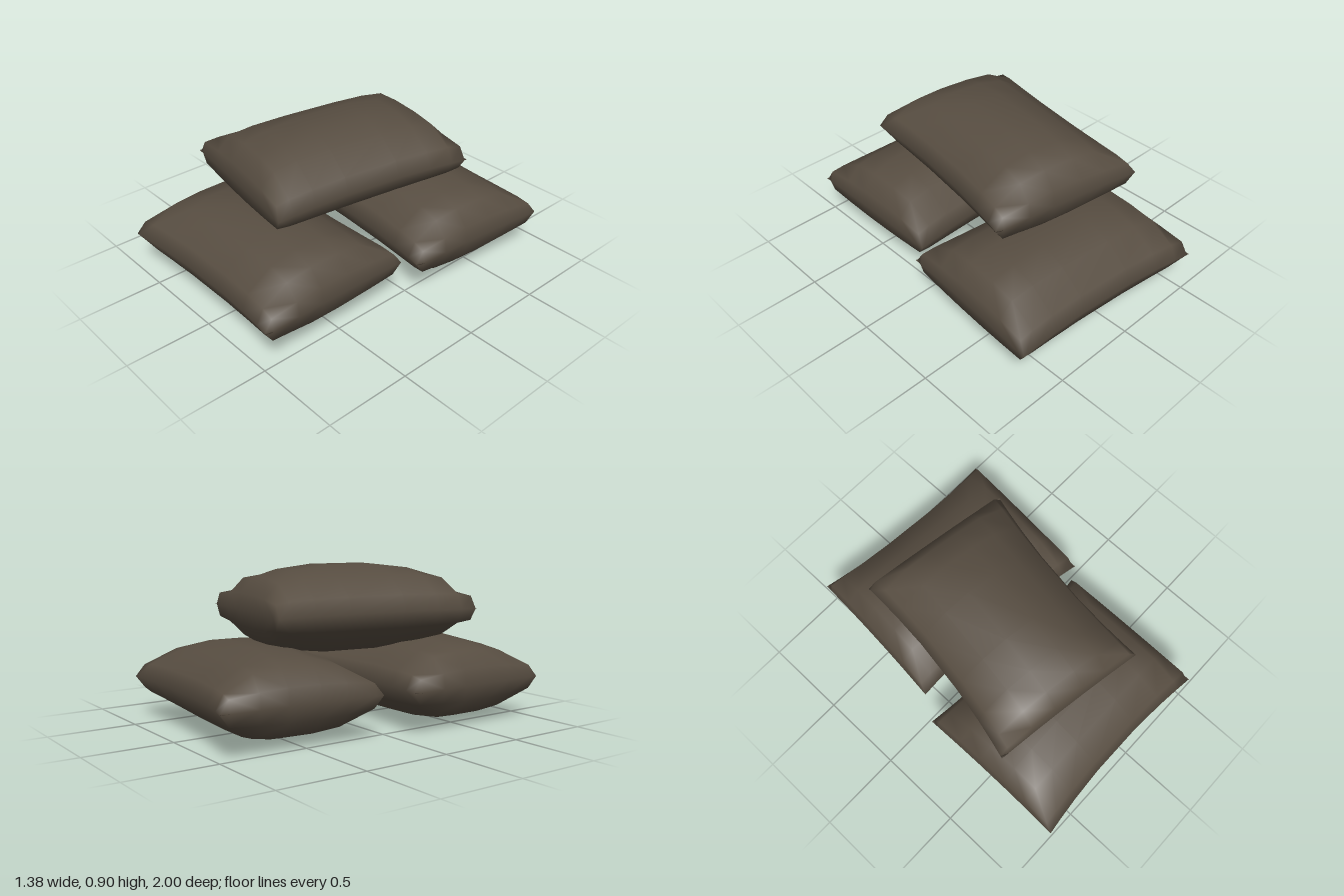
import * as THREE from 'three';
import { mergeGeometries, mergeVertices } from 'three/addons/utils/BufferGeometryUtils.js';

const LENGTH = 0.61, DEPTH = 0.465, THICK = 0.241; // half sizes of a bag

// [position, height] steps from the middle of the bag out to its seam
const alongLength = [[0.27, 1], [0.61, 0.9], [0.84, 0.74], [0.975, 0.375], [1, 0]];
const alongDepth = [[0.2, 1], [0.54, 0.79], [0.9, 0.375], [1, 0]];

const mirrorSteps = (steps) => [...steps.map(([p, h]) => [-p, h]).reverse(), ...steps];

// One puffed half of a bag: side is 1 for the top, -1 for the bottom
function bagHalf(side) {
  const us = mirrorSteps(alongLength), vs = mirrorSteps(alongDepth);
  const geo = new THREE.PlaneGeometry(1, 1, us.length - 1, vs.length - 1);
  const pos = geo.attributes.position;
  for (let i = 0; i < pos.count; i++) {
    const [u, hu] = us[i % us.length];
    const [v, hv] = vs[Math.floor(i / us.length)];
    // Seams bow inward between the corners
    const x = LENGTH * u * (1 - 0.013 * u * u * (1 - v * v));
    const z = DEPTH * v * (1 - 0.09 * v * v * (1 - u * u));
    const h = Math.min(hu, hv) * (0.6 + 0.4 * Math.max(hu, hv));
    pos.setXYZ(i, x, side * THICK * h, z);
  }
  if (side < 0) geo.index.array.reverse();
  geo.deleteAttribute('normal');
  geo.deleteAttribute('uv');
  return geo;
}

function bagGeometry() {
  const geo = mergeVertices(mergeGeometries([bagHalf(1), bagHalf(-1)]), 1e-4);
  geo.computeVertexNormals();
  return geo;
}

export function createModel() {
  const group = new THREE.Group();
  group.name = 'sandbagStack';
  const cloth = new THREE.MeshStandardMaterial({ color: 0x574d41 });
  cloth.name = 'brown cloth';
  const geo = bagGeometry();

  // Two bags side by side with a third laid across them
  const bags = [
    ['frontBag', -0.08, 0.249, 0.533, 0],
    ['backBag', 0.045, 0.245, -0.49, -0.08],
    ['topBag', -0.075, 0.667, 0.04, -1.727],
  ];
  for (const [name, x, y, z, turn] of bags) {
    const bag = new THREE.Mesh(geo, cloth);
    bag.name = name;
    bag.position.set(x, y, z);
    bag.rotation.y = turn;
    group.add(bag);
  }
  return group;
}
